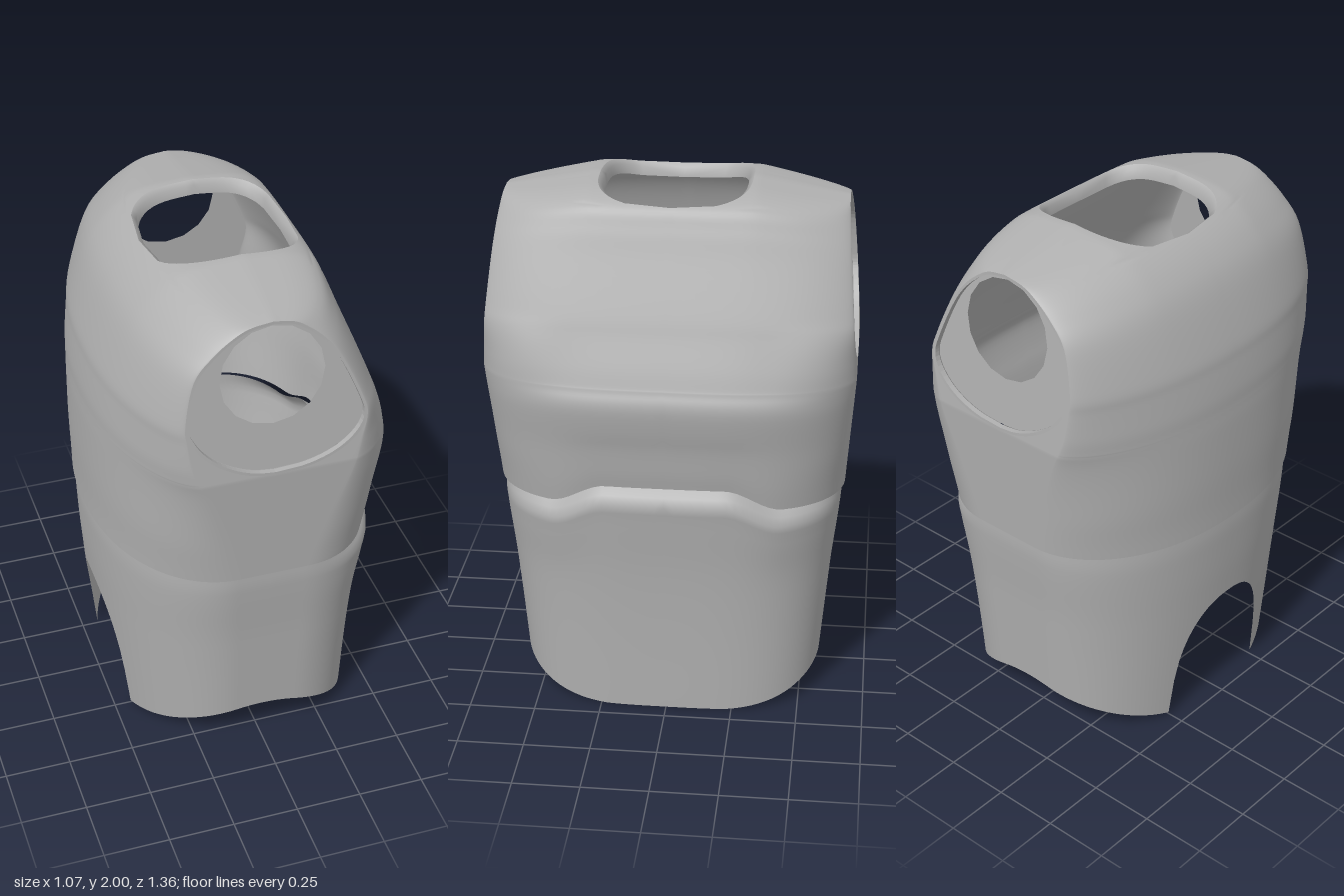
import * as THREE from 'three';
import { mergeGeometries, mergeVertices } from 'three/addons/utils/BufferGeometryUtils.js';

const { smoothstep, clamp, lerp } = THREE.MathUtils;

// Smooth interpolation of one column of a key table; at[] holds the key positions
function sample(keys, at, u, col) {
  let i = 0;
  while (i < at.length - 2 && u > at[i + 1]) i++;
  const slope = (k) => {
    const p = Math.max(k - 1, 0), n = Math.min(k + 1, at.length - 1);
    return (keys[n][col] - keys[p][col]) / (at[n] - at[p]);
  };
  const h = at[i + 1] - at[i], t = (u - at[i]) / h, t2 = t * t, t3 = t2 * t;
  return (2 * t3 - 3 * t2 + 1) * keys[i][col] + (t3 - 2 * t2 + t) * h * slope(i)
    + (3 * t2 - 2 * t3) * keys[i + 1][col] + (t3 - t2) * h * slope(i + 1);
}

// Surface through equal-length rows of points
function grid(rows, flip = false) {
  const n = rows[0].length, index = [];
  for (let i = 0; i < rows.length - 1; i++) for (let j = 0; j < n - 1; j++) {
    const a = i * n + j, b = a + 1, c = a + n, d = c + 1;
    index.push(...(flip ? [a, c, b, b, c, d] : [a, b, c, b, d, c]));
  }
  const g = new THREE.BufferGeometry();
  g.setAttribute('position', new THREE.Float32BufferAttribute(rows.flat(2), 3));
  g.setIndex(index);
  return g;
}

function smooth(parts) {
  const g = mergeVertices(mergeGeometries(parts), 1e-4);
  g.computeVertexNormals();
  return g;
}

const mirrorZ = (rows) => rows.map((r) => r.map(([x, y, z]) => [x, y, -z]));
const CURVE = 30, SIDE = 10;

// Fullness of a plan section from the centre (t = 0) to the flank (t = 1)
const fullness = (t, front, q) => Math.pow(Math.max(0, 1 - Math.pow(t, front ? 3.5 : 2.2)), q);
const seamRise = (z) => 0.08 * (1 - smoothstep(Math.abs(z), 0.22, 0.43));

// height, chest x, chest flank x, back x, back flank x
const UPPER = [
  [0.87, 0.475, 0.15, 0.535, 0.12], [0.95, 0.487, 0.17, 0.535, 0.14],
  [1.1, 0.505, 0.22, 0.537, 0.18], [1.27, 0.535, 0.28, 0.535, 0.24],
  [1.34, 0.518, 0.3, 0.532, 0.27], [1.36, 0.511, 0.305, 0.531, 0.28],
  [1.42, 0.49, 0.32, 0.528, 0.3], [1.52, 0.45, 0.34, 0.515, 0.315],
  [1.6, 0.42, 0.32, 0.5, 0.32], [1.78, 0.345, 0.245, 0.435, 0.285],
  [1.88, 0.305, 0.185, 0.37, 0.215], [1.95, 0.265, 0.12, 0.285, 0.14],
  [1.985, 0.17, 0.07, 0.19, 0.08], [2.0, 0, 0, 0, 0],
];
const UPPER_AT = UPPER.map((_, i) => i);
const ARM_ROW = 4, NECK_ROW = 11, SUB = 6;
const armZ = (y) => (y < 1.34 ? lerp(0.65, 0.68, (y - 0.87) / 0.47) : lerp(0.68, 0.63, (y - 1.34) / 0.66));

// One quarter of the upper shell, trimmed by the neck and arm openings
function upperQuarter(front) {
  const c = front ? 1 : 3, sign = front ? 1 : -1, rows = [];
  const widest = front ? 1.52 : 1.6, p = front ? 2.3 : 2;
  for (let k = 0; k <= (UPPER.length - 1) * SUB; k++) {
    const u = k / SUB;
    const v = sample(UPPER, UPPER_AT, u, 0);
    const a = Math.max(0, sample(UPPER, UPPER_AT, u, c));
    const e = Math.min(a, Math.max(0, sample(UPPER, UPPER_AT, u, c + 1)));
    const b = armZ(v), q = lerp(0.5, 0.72, smoothstep(v, 1.0, 1.5));
    const neck = clamp(a / UPPER[NECK_ROW][c], 0, 1);
    const z0 = u > NECK_ROW ? 0.28 * Math.pow(1 - neck ** 3.5, 1 / 3.5) : 0;
    let end = e;
    if (u <= ARM_ROW) end = 0;
    else if (v < widest) end = e * Math.pow(Math.max(0, 1 - ((widest - v) / (widest - 1.34)) ** p), 1 / p);
    const point = (x, z) => {
      let y = v - 0.06 * clamp((z - 0.3) / 0.33, 0, 1) * clamp((v - 1.5) / 0.5, 0, 1) ** 2;
      if (front) y += seamRise(z) * clamp(1 - (v - 0.87) / 0.3, 0, 1);
      return [sign * x, y, z];
    };
    const row = [];
    for (let j = 0; j <= CURVE; j++) {
      const z = lerp(z0, b, Math.sin((j / CURVE) * Math.PI / 2)), t = Math.min(1, z / b);
      // the chest ridge climbs toward the arm openings
      const ridge = front && v > 1.27 ? smoothstep(t, 0.5, 0.95) * (1 - smoothstep(v, 1.3, 1.6)) : 0;
      row.push(point(e + (lerp(a, 0.535, ridge) - e) * fullness(t, front, q), z));
    }
    for (let j = 1; j <= SIDE; j++) row.push(point(lerp(e, end, j / SIDE), b));
    rows.push(row);
  }
  return rows;
}

const LOWER = [
  [0, 0.435, 0.14, 0.47, 0.1], [0.35, 0.45, 0.14, 0.5, 0.1], [0.6, 0.468, 0.15, 0.517, 0.11],
  [0.84, 0.498, 0.15, 0.525, 0.12], [0.9, 0.503, 0.15, 0.526, 0.12], [0.95, 0.45, 0.15, 0.524, 0.12],
];
const LOWER_AT = LOWER.map((k) => k[0]);

// One quarter of the lower shell, with arched sides and a notch in the back
function lowerQuarter(front) {
  const c = front ? 1 : 3, sign = front ? 1 : -1, rows = [];
  const cols = front ? CURVE : 50, count = 30;
  const place = (j, y) => {
    const b = lerp(0.56, 0.637, clamp(y / 0.9, 0, 1));
    const a = sample(LOWER, LOWER_AT, y, c), e = sample(LOWER, LOWER_AT, y, c + 1);
    if (j > cols) return [e * (1 - (j - cols) / SIDE), b];
    const t = Math.sin((j / cols) * Math.PI / 2);
    return [e + (a - e) * fullness(t, front, 0.5), b * t];
  };
  for (let i = 0; i <= count; i++) {
    const s = i / count, row = [];
    for (let j = 0; j <= cols + SIDE; j++) {
      const [x0, z0] = place(j, 0.08);
      let bottom = 0.16 * Math.max(0, 1 - (x0 / (front ? 0.432 : 0.46)) ** 2);
      if (!front && z0 < 0.25) bottom = Math.max(bottom, 0.5 * Math.pow(1 - (z0 / 0.25) ** 2.4, 1 / 2.4));
      const y = lerp(bottom, 0.95, s), [x, z] = place(j, y);
      const drop = (0.08 - (front ? seamRise(z) : 0)) * smoothstep(y, 0.5, 0.9);
      row.push([sign * x, y - drop, z]);
    }
    rows.push(row);
  }
  return rows;
}

export function createModel() {
  const group = new THREE.Group();
  const grey = new THREE.MeshStandardMaterial({ color: 0xb0b0b0, side: THREE.DoubleSide });
  grey.name = 'armour grey';
  const add = (name, geometry) => {
    const mesh = new THREE.Mesh(geometry, grey);
    mesh.name = name;
    group.add(mesh);
  };

  // Upper and lower shells, each from four mirrored quarters
  const chest = upperQuarter(true), back = upperQuarter(false);
  const shell = (f, b) => smooth([grid(f, true), grid(mirrorZ(f)), grid(b), grid(mirrorZ(b), true)]);
  add('upperTorso', shell(chest, back));
  add('lowerTorso', shell(lowerQuarter(true), lowerQuarter(false)));

  // Inner lip of the neck opening
  const lip = (rows) => {
    const edge = rows.slice(NECK_ROW * SUB).map((r) => r[0]);
    return [edge, edge.map(([x, y, z]) => [x * 0.94, y - 0.015, z * 0.94]),
      edge.map(([x, y, z]) => [x * 0.92, y - 0.05, z * 0.92])];
  };
  const f = lip(chest), b = lip(back);
  add('neckRim', smooth([grid(f), grid(mirrorZ(f), true), grid(b, true), grid(mirrorZ(b))]));

  // Recessed arm plates with round sockets and their rims
  const ends = (rows) => rows.slice(ARM_ROW * SUB).map((r) => r[r.length - 1]);
  const oval = [...ends(chest), ...ends(back).reverse().slice(1, -1)];
  const inset = oval.map(([x, y, z]) => [x * 0.965, 1.64 + (y - 1.64) * 0.965, z]);
  const deep = inset.map(([x, y, z]) => [x, y, z - 0.02]);
  const rim = [oval, inset, deep].map((loop) => [...loop, loop[0]]);
  const outline = new THREE.Shape(deep.map(([x, y]) => new THREE.Vector2(x, y)));
  outline.holes.push(new THREE.Path().absarc(0, 1.725, 0.19, 0, Math.PI * 2, true));
  for (const side of [1, -1]) {
    const label = side > 0 ? 'front' : 'rear';
    const plate = new THREE.ShapeGeometry(outline, 8);
    const pos = plate.attributes.position;
    for (let i = 0; i < pos.count; i++) pos.setZ(i, side * (armZ(pos.getY(i)) - 0.022));
    if (side < 0) plate.setIndex([...plate.index.array].reverse());
    plate.computeVertexNormals();
    add(label + 'ArmPlate', plate);
    const band = grid(side > 0 ? rim : mirrorZ(rim), side > 0).toNonIndexed();
    band.computeVertexNormals();
    add(label + 'ArmRim', band);
  }
  return group;
}
